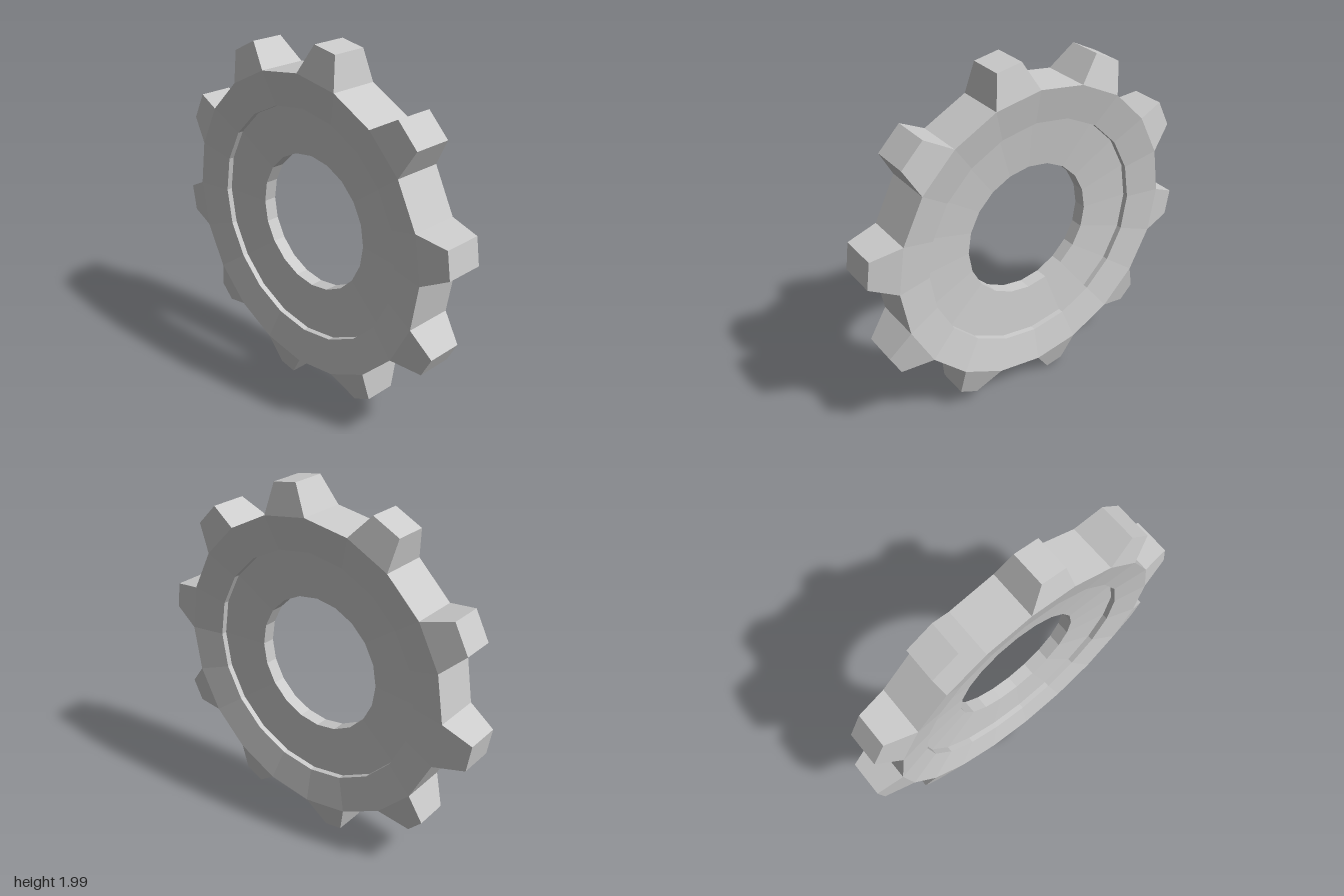
import * as THREE from 'three';

const SIDES = 20;
const RIM = 0.845;      // rim radius at the corners
const DEPTH = 0.135;    // half thickness at the rim
const TIP = 0.998;      // distance from the hub axis to a tooth tip

// half width and half depth of each tooth tip, counter-clockwise from +x
const TIPS = [
  [0.076, 0.107], [0.085, 0.107], [0.072, 0.095], [0.085, 0.092], [0.087, 0.094],
  [0.076, 0.1], [0.055, 0.095], [0.053, 0.088], [0.058, 0.088], [0.065, 0.1],
];

// Tapered block: base matches one rim facet, tip is narrower
function toothGeometry([halfWidth, halfDepth]) {
  const half = Math.PI / SIDES;
  const geometry = new THREE.BoxGeometry(1, 2, 2);
  const p = geometry.attributes.position;
  for (let i = 0; i < p.count; i++) {
    const tip = p.getX(i) > 0;
    p.setXYZ(
      i,
      tip ? TIP : RIM * Math.cos(half),
      p.getY(i) * (tip ? halfWidth : RIM * Math.sin(half)),
      p.getZ(i) * (tip ? halfDepth : DEPTH),
    );
  }
  geometry.computeVertexNormals();
  return geometry;
}

export function createModel() {
  const model = new THREE.Group();
  model.name = 'gear';
  const material = new THREE.MeshStandardMaterial({ color: 0xcccccc, flatShading: true });

  // Ring: dished on both faces with a small step, mirrored front to back
  const face = [[RIM, DEPTH], [0.655, 0.096], [0.655, 0.065], [0.385, 0.037]];
  const back = face.map(([r, z]) => [r, -z]).reverse();
  const profile = [...face, ...back, face[0]].map(([r, z]) => new THREE.Vector2(r, z));
  const ring = new THREE.Mesh(new THREE.LatheGeometry(profile, SIDES).rotateX(Math.PI / 2), material);
  ring.name = 'ring';
  ring.position.y = 1;
  model.add(ring);

  // Teeth on every other rim facet
  const teeth = new THREE.Group();
  teeth.name = 'teeth';
  teeth.position.y = 1;
  TIPS.forEach((tip, i) => {
    const tooth = new THREE.Mesh(toothGeometry(tip), material);
    tooth.name = `tooth${i + 1}`;
    tooth.rotation.z = ((2 * i + 0.5) * 2 * Math.PI) / SIDES;
    teeth.add(tooth);
  });
  model.add(teeth);

  return model;
}
